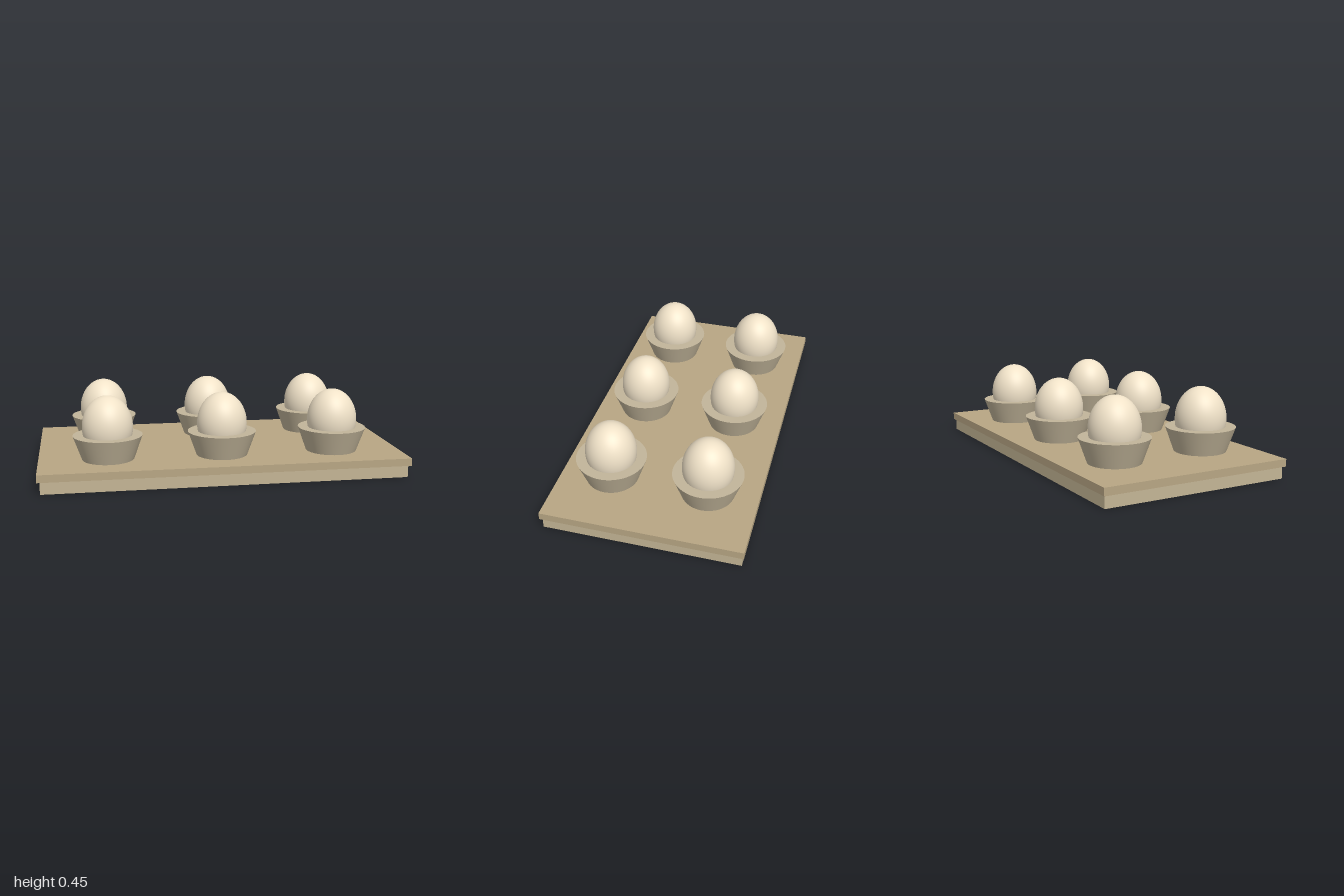
import * as THREE from 'three';

const mat = (color) => new THREE.MeshStandardMaterial({ color });

export function createModel() {
  const group = new THREE.Group();
  const add = (name, geometry, material, x, y, z) => {
    const mesh = new THREE.Mesh(geometry, material);
    mesh.name = name;
    mesh.position.set(x, y, z);
    group.add(mesh);
    return mesh;
  };

  // Stepped tray: slightly inset base under a thinner top board
  add('trayBase', new THREE.BoxGeometry(1.97, 0.066, 1.052), mat(0xc4b595), 0, 0.033, 0);
  add('trayTop', new THREE.BoxGeometry(2, 0.041, 1.075), mat(0xb8a684), 0, 0.0865, 0);

  // Two rows of three tapered cups, each holding an egg
  const cupGeometry = new THREE.CylinderGeometry(0.188, 0.141, 0.132, 48);
  const eggGeometry = new THREE.SphereGeometry(0.137, 48, 32).scale(1, 1.25, 1);
  const cupMaterial = mat(0xc2b59a);
  const eggMaterial = mat(0xf0e2c8);
  for (const z of [-0.264, 0.264]) {
    for (const x of [-0.625, 0, 0.625]) {
      add('cup', cupGeometry, cupMaterial, x, 0.173, z);
      add('egg', eggGeometry, eggMaterial, x, 0.282, z);
    }
  }
  return group;
}
